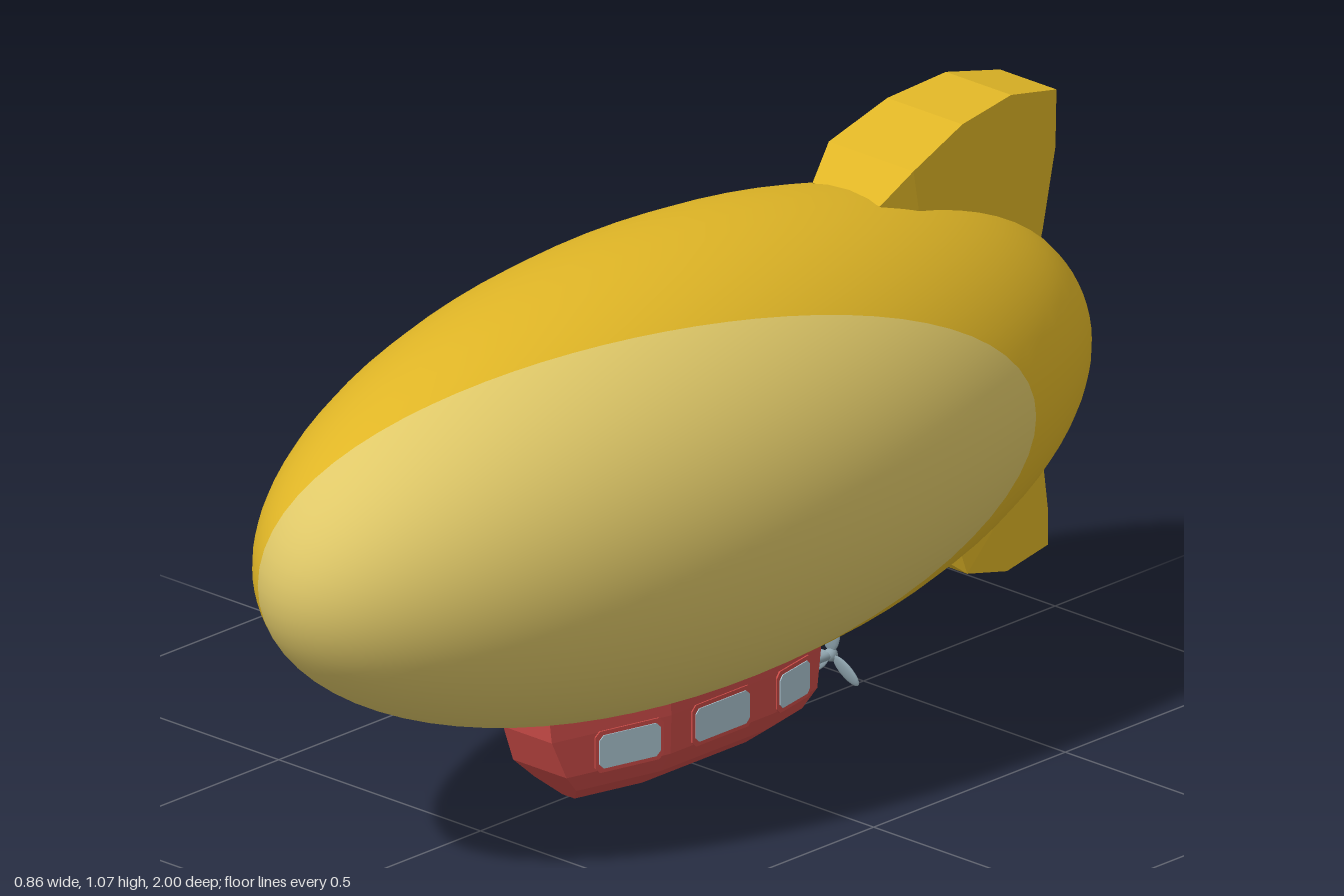
import * as THREE from 'three';

const mat = (name, color) => Object.assign(new THREE.MeshStandardMaterial({ color }), { name });

export function createModel() {
  const yellow = mat('envelope yellow', 0xdfb526);
  const pale = mat('pale yellow', 0xdfc868);
  const red = mat('gondola red', 0xc84a46);
  const glass = mat('window glass', 0xa9c2ce);
  const metal = mat('propeller metal', 0x8ea3ad);
  const model = new THREE.Group();
  model.name = 'airship';
  const add = (name, geo, material, parent = model) => {
    const m = new THREE.Mesh(geo, material);
    m.name = name;
    parent.add(m);
    return m;
  };

  // Envelope: smooth ellipsoid with its poles at nose and tail
  const RX = 0.427, RY = 0.425, CY = 0.585;
  const hull = new THREE.SphereGeometry(1, 48, 40);
  hull.rotateX(Math.PI / 2).scale(RX, RY, 1).translate(0, CY, 0);
  add('envelope', hull, yellow);

  // Pale patch: oval cap wrapped just above the envelope, on the +x side of the nose
  const rings = 24, spokes = 72, pos = [], nor = [], idx = [];
  const ca = Math.cos(0.593), sa = Math.sin(0.593);
  for (let i = 0; i <= rings; i++) {
    for (let j = 0; j <= spokes; j++) {
      const phi = (j / spokes) * Math.PI * 2, c = Math.cos(phi), s = Math.sin(phi);
      const reach = 1 / Math.hypot(c / 1.213, s / 1.012);
      const a = (reach * i) / rings, out = Math.sin(a), mid = Math.cos(a);
      const x = mid * ca - out * c * sa, z = mid * sa + out * c * ca, y = out * s;
      const n = new THREE.Vector3(x / RX, y / RY, z).normalize();
      pos.push(x * RX + n.x * 0.003, CY + y * RY + n.y * 0.003, z + n.z * 0.003);
      nor.push(n.x, n.y, n.z);
      if (i < rings && j < spokes) {
        const p = i * (spokes + 1) + j, q = p + spokes + 1;
        idx.push(p, q + 1, q, p, p + 1, q + 1);
      }
    }
  }
  const patch = new THREE.BufferGeometry();
  patch.setAttribute('position', new THREE.Float32BufferAttribute(pos, 3));
  patch.setAttribute('normal', new THREE.Float32BufferAttribute(nor, 3));
  patch.setIndex(idx);
  pale.side = THREE.DoubleSide;
  add('palePatch', patch, pale);

  // Thick tail fins: side profile [z, y] extruded across x, tapering to the rear
  const fin = (name, profile, shoulder) => {
    const shape = new THREE.Shape(profile.map(([z, y]) => new THREE.Vector2(-z, y)));
    const g = new THREE.ExtrudeGeometry(shape, { depth: 1, bevelEnabled: false });
    g.translate(0, 0, -0.5).rotateY(Math.PI / 2);
    const p = g.attributes.position;
    for (let i = 0; i < p.count; i++) {
      const z = p.getZ(i);
      const w = z > shoulder
        ? 0.105 - (z - shoulder) * 0.33
        : THREE.MathUtils.mapLinear(z, shoulder, -0.93, 0.105, 0.07);
      p.setX(i, p.getX(i) * 2 * w);
    }
    g.computeVertexNormals();
    add(name, g, yellow);
  };
  fin('topFin', [[-0.55, 0.85], [-0.87, 0.72], [-0.89, 0.78], [-0.927, 0.93], [-0.93, 1.04],
    [-0.8, 1.07], [-0.66, 1.057], [-0.52, 1.01], [-0.455, 0.955]], -0.52);
  fin('bottomFin', [[-0.62, 0.33], [-0.59, 0.245], [-0.66, 0.19], [-0.78, 0.156], [-0.905, 0.167],
    [-0.905, 0.23], [-0.885, 0.36], [-0.87, 0.44]], -0.66);

  // Gondola: eight-sided plan lofted through levels [y, halfWidth, frontZ, rearZ]
  const F = 0.13, R = -0.14, FS = 0.25, RS = 0.2;
  const levels = [[0, 0.05, 0.27, -0.23], [0.035, 0.096, 0.305, -0.265], [0.075, 0.12, 0.345, -0.283],
    [0.15, 0.122, 0.377, -0.293], [0.23, 0.118, 0.383, -0.3]];
  const loops = levels.map(([y, w, zf, zr]) => {
    const half = [[w - FS * (zf - F), zf], [w, F], [w, R], [w - RS * (R - zr), zr]];
    return [...half, ...half.map(([x, z]) => [-x, z]).reverse()].map(([x, z]) => [x, y, z]);
  });
  const tri = [];
  for (let l = 0; l < loops.length - 1; l++) {
    for (let k = 0; k < 8; k++) {
      const n = (k + 1) % 8, a = loops[l][k], b = loops[l][n], c = loops[l + 1][n], d = loops[l + 1][k];
      tri.push(...a, ...b, ...c, ...a, ...c, ...d);
    }
  }
  const top = loops[loops.length - 1];
  for (let k = 1; k < 7; k++) {
    tri.push(...loops[0][0], ...loops[0][k + 1], ...loops[0][k]);
    tri.push(...top[0], ...top[k], ...top[k + 1]);
  }
  const cabin = new THREE.BufferGeometry();
  cabin.setAttribute('position', new THREE.Float32BufferAttribute(tri, 3));
  cabin.computeVertexNormals();
  red.side = THREE.DoubleSide;
  add('gondola', cabin, red);

  // Windows: thin rounded panes with slim frames, three per side
  const plate = (w, h, r, depth) => {
    const s = new THREE.Shape(), x = w / 2, y = h / 2;
    s.moveTo(-x + r, -y).lineTo(x - r, -y).lineTo(x, -y + r).lineTo(x, y - r)
      .lineTo(x - r, y).lineTo(-x + r, y).lineTo(-x, y - r).lineTo(-x, -y + r);
    return new THREE.ExtrudeGeometry(s, { depth, bevelEnabled: false });
  };
  const windows = [[0.218, 0.122 - FS * (0.218 - F), Math.atan(FS), 0.13],
    [0, 0.1215, 0, 0.14],
    [-0.2, 0.122 - RS * (R + 0.2), -Math.atan(RS), 0.1]];
  for (const side of [1, -1]) {
    for (const [z, x, turn, w] of windows) {
      const g = new THREE.Group();
      g.name = side > 0 ? 'leftWindow' : 'rightWindow';
      g.position.set(side * x, 0.112, z);
      g.rotation.y = side * (Math.PI / 2 - turn);
      add('windowFrame', plate(w + 0.016, 0.08, 0.01, 0.003), red, g);
      add('windowPane', plate(w, 0.064, 0.009, 0.005), glass, g);
      model.add(g);
    }
  }

  // Propeller: shaft, hub and three paddle blades at the stern
  const prop = new THREE.Group();
  prop.name = 'propeller';
  prop.position.set(0, 0.076, -0.415);
  add('shaft', new THREE.CylinderGeometry(0.008, 0.008, 0.15, 12).rotateX(Math.PI / 2).translate(0, 0, 0.07), metal, prop);
  add('hub', new THREE.SphereGeometry(0.013, 12, 8), metal, prop);
  for (let i = 0; i < 3; i++) {
    const blade = new THREE.SphereGeometry(1, 14, 10);
    blade.scale(0.019, 0.037, 0.005).rotateY(0.25).translate(0, 0.043, 0).rotateZ((i * Math.PI * 2) / 3);
    add('blade', blade, metal, prop);
  }
  model.add(prop);
  return model;
}
